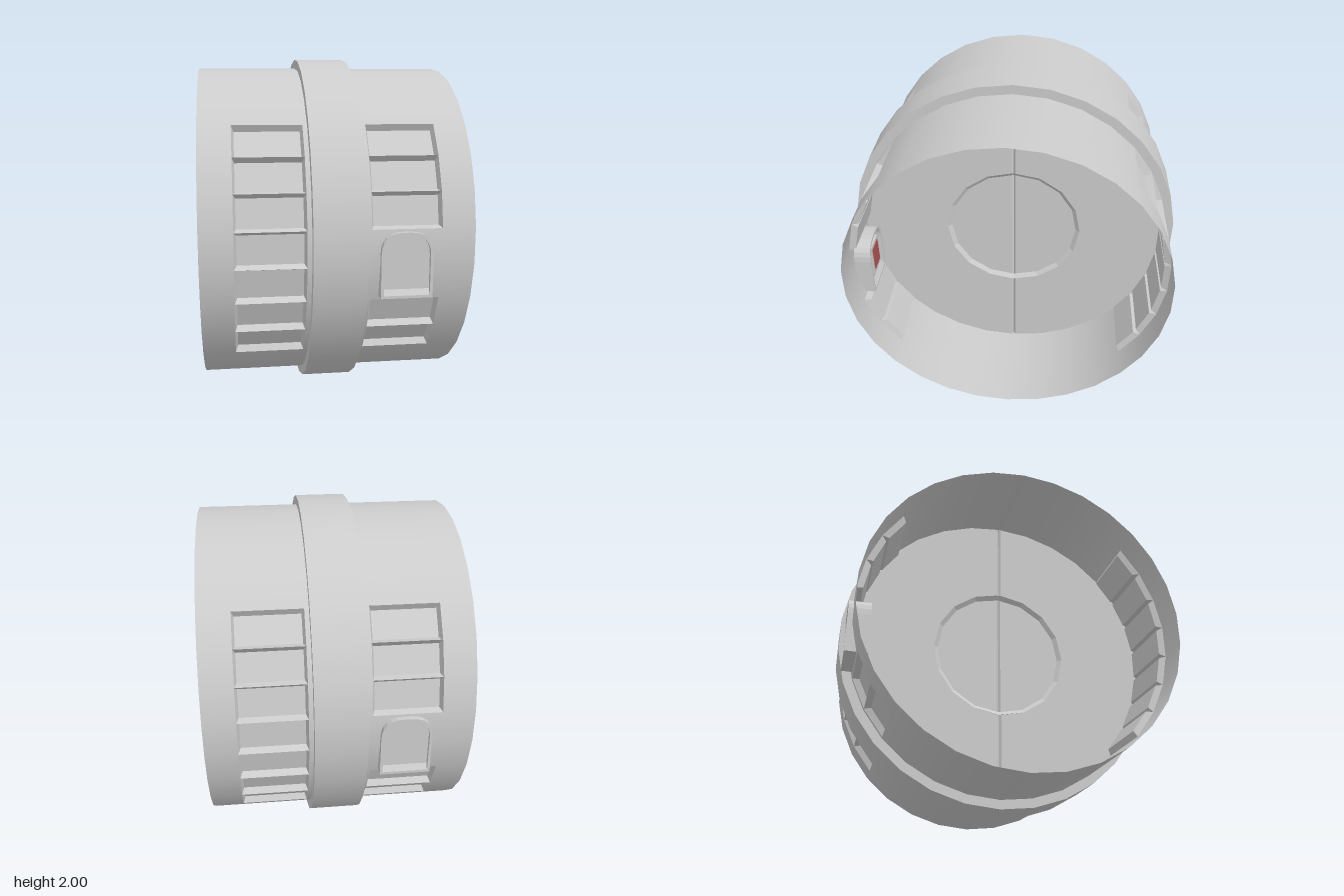
import * as THREE from 'three';

const RAD = Math.PI / 180, STEP = 12 * RAD;
const R = 0.945, BAND = 0.145;
const grey = new THREE.MeshStandardMaterial({ color: 0xcccccc, side: THREE.DoubleSide });
const red = new THREE.MeshStandardMaterial({ color: 0xb05555 });

function add(parent, name, geometry, material = grey) {
  const mesh = new THREE.Mesh(geometry, material);
  mesh.name = name;
  parent.add(mesh);
  return mesh;
}

// Curved strip of wall around the x axis; facet 0 faces +z, 30 facets per turn
function wallStrip(r, x0, x1, firstFacet, count) {
  return new THREE.CylinderGeometry(r, r, x1 - x0, count, 1, true, (firstFacet - 0.5) * STEP, count * STEP)
    .rotateZ(Math.PI / 2).translate((x0 + x1) / 2, 0, 0);
}

// Open pan with bevelled sides that fills one facet opening
function panGeometry(x0, x1) {
  const depth = 0.036, g = new THREE.BoxGeometry(x1 - x0, 2 * R * Math.sin(STEP / 2), depth);
  const p = g.attributes.position;
  for (let i = 0; i < p.count; i++) {
    if (p.getZ(i) > 0) continue;
    p.setX(i, p.getX(i) - Math.sign(p.getX(i)) * 0.013);
    p.setY(i, p.getY(i) - Math.sign(p.getY(i)) * 0.019);
  }
  g.setIndex(Array.from(g.index.array).filter((_, i) => i < 24 || i >= 30));
  g.clearGroups();
  g.computeVertexNormals();
  return g.translate((x0 + x1) / 2, 0, R * Math.cos(STEP / 2) - depth / 2);
}

// Half of a round door plate, optionally with a polygonal cut-out
function halfPlate(rOut, nOut, rIn, nIn, thickness) {
  const pts = [], gap = 0.012;
  const arc = (r, n, dir) => {
    for (let i = 0; i <= n; i++) {
      const a = dir * (-Math.PI / 2 + Math.PI * i / n);
      pts.push(new THREE.Vector2(Math.max(gap, r * Math.cos(a)), r * Math.sin(a)));
    }
  };
  arc(rOut, nOut, 1);
  if (rIn) arc(rIn, nIn, -1);
  return new THREE.ExtrudeGeometry(new THREE.Shape(pts), { depth: thickness, bevelEnabled: false })
    .translate(0, 0, -thickness / 2).rotateY(-Math.PI / 2);
}

// Filler between door halves with a V groove on both faces
function seam(thickness, y0, y1) {
  const h = thickness / 2, w = 0.012, v = h - 0.014;
  const s = new THREE.Shape([[-h, -w], [h, -w], [v, 0], [h, w], [-h, w], [-v, 0]].map(p => new THREE.Vector2(...p)));
  return new THREE.ExtrudeGeometry(s, { depth: y1 - y0, bevelEnabled: false })
    .rotateX(-Math.PI / 2).translate(0, y0, 0);
}

// Outline with rounded top and flat bottom
function arch(Type, w, y0, y1, r) {
  const s = new Type();
  s.moveTo(-w, y0);
  s.lineTo(w, y0);
  s.lineTo(w, y1 - r);
  s.quadraticCurveTo(w, y1, w - r, y1);
  s.lineTo(-w + r, y1);
  s.quadraticCurveTo(-w, y1, -w, y1 - r);
  s.closePath();
  return s;
}

// Arched control pad that passes through the wall
function controlPad() {
  const g = new THREE.Group();
  g.name = 'controlPad';
  const opts = depth => ({ depth, bevelEnabled: false, curveSegments: 6 });
  const rim = arch(THREE.Shape, 0.14, -0.27, 0.085, 0.12);
  rim.holes.push(arch(THREE.Path, 0.125, -0.255, 0.07, 0.11));
  add(g, 'padRim', new THREE.ExtrudeGeometry(rim, opts(0.13)).translate(0, 0, 0.84));
  add(g, 'padPlate', new THREE.ExtrudeGeometry(arch(THREE.Shape, 0.13, -0.26, 0.075, 0.11), opts(0.084)).translate(0, 0, 0.863));
  // Sloped ledges at the foot of both faces
  for (const [z, edge] of [[0.947, 0.97], [0.863, 0.84]]) {
    const s = new THREE.Shape([[z, -0.262], [edge, -0.262], [z, -0.225]].map(p => new THREE.Vector2(...p)));
    add(g, 'padLedge', new THREE.ExtrudeGeometry(s, opts(0.25))
      .translate(0, 0, -0.125).rotateY(-Math.PI / 2));
  }
  add(g, 'buttonFrame', new THREE.BoxGeometry(0.15, 0.19, 0.02).translate(0, -0.08, 0.858));
  add(g, 'button', new THREE.BoxGeometry(0.11, 0.15, 0.02).translate(0, -0.08, 0.853), red);
  g.position.x = 0.355;
  return g;
}

// One open end of the drum, on the +x side
function drumEnd() {
  const g = new THREE.Group();
  g.name = 'drumEnd';
  const x0 = 0.17, x1 = 0.55;
  add(g, 'innerWall', wallStrip(R, 0.13, x0, 1, 30));
  add(g, 'outerWall', wallStrip(R, x1, 0.73, 1, 30));
  // Solid wall between the panel openings: [first facet, count]
  for (const [first, count] of [[4, 8], [19, 8], [-1, 2]])
    add(g, 'panelWall', wallStrip(R, x0, x1, first, count));
  const pan = panGeometry(x0, x1);
  for (const k of [-3, -2, 1, 2, 3, 12, 13, 14, 15, 16, 17, 18])
    add(g, 'recessedPanel', pan).rotation.x = -k * STEP;
  add(g, 'bandSide', new THREE.RingGeometry(R - 0.005, 1, 30, 1, STEP / 2)
    .rotateY(Math.PI / 2).translate(BAND, 0, 0));
  // Bevel down to the sunken door centre
  const bevel = new THREE.CylinderGeometry(0.395, 0.42, 0.02, 16, 1, true)
    .rotateZ(Math.PI / 2).translate(0.13, 0, 0).toNonIndexed();
  // Narrow end lies deeper inside the door
  bevel.computeVertexNormals();
  add(g, 'doorBevel', bevel);
  g.add(controlPad());
  return g;
}

export function createModel() {
  const model = new THREE.Group();
  model.name = 'drumAirlock';
  const body = new THREE.Group();
  body.name = 'body';
  body.position.y = 1;
  model.add(body);

  add(body, 'centreBand', wallStrip(1, -BAND, BAND, 1, 30));
  for (const turn of [0, Math.PI]) {
    const end = drumEnd();
    end.rotation.y = turn;
    body.add(end);
    add(body, 'doorHalf', halfPlate(R, 15, 0.42, 8, 0.28)).rotation.y = turn;
    add(body, 'doorCentreHalf', halfPlate(0.41, 8, 0, 0, 0.24)).rotation.y = turn;
  }
  add(body, 'upperSeam', seam(0.28, 0.418, R));
  add(body, 'lowerSeam', seam(0.28, -R, -0.418));
  add(body, 'centreSeam', seam(0.24, -0.418, 0.418));
  return model;
}
